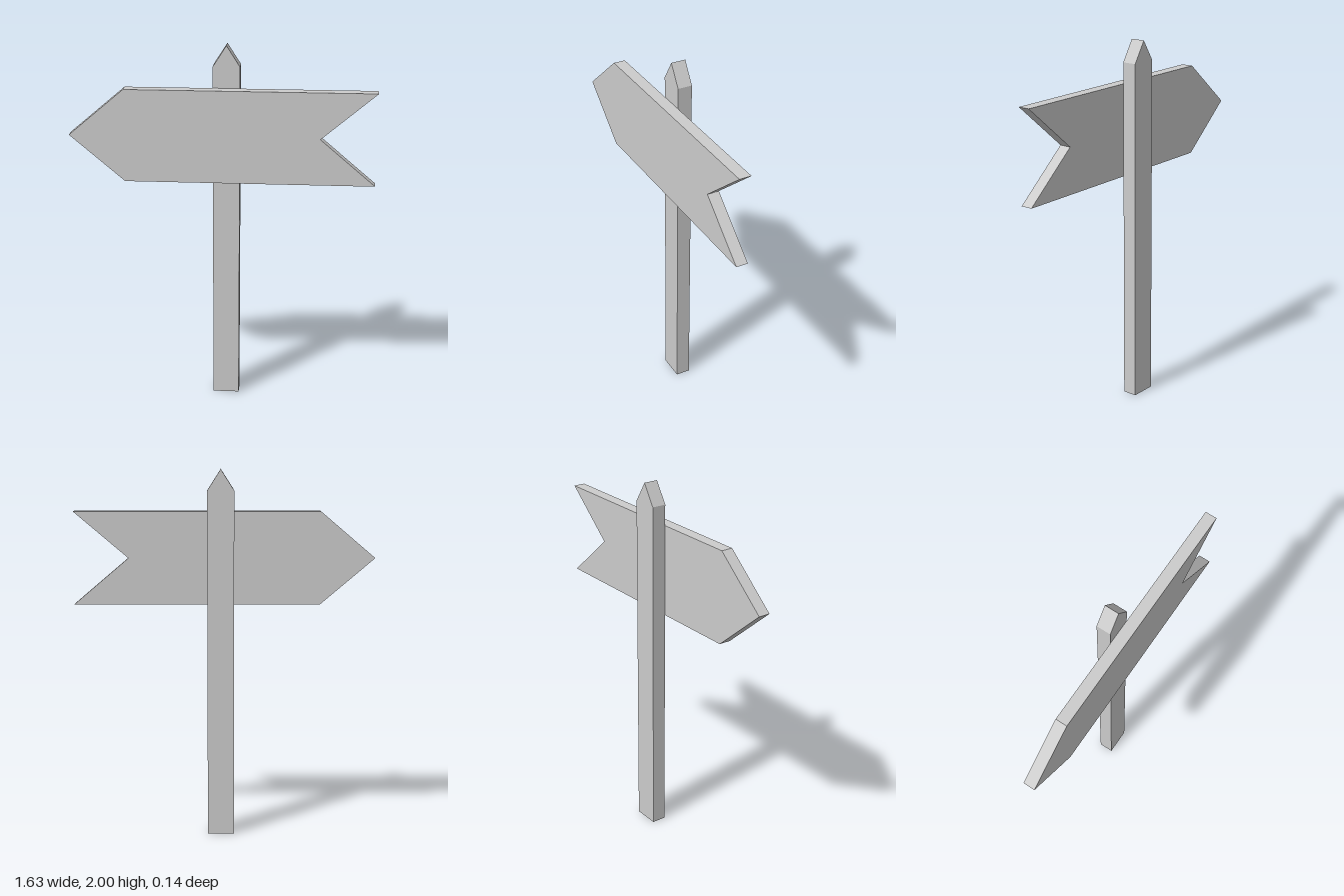
import * as THREE from 'three';

// Extrude a flat outline in the xy plane between two depths.
function plank(name, outline, zBack, zFront) {
  const shape = new THREE.Shape(outline.map(([x, y]) => new THREE.Vector2(x, y)));
  const geometry = new THREE.ExtrudeGeometry(shape, { depth: zFront - zBack, bevelEnabled: false });
  geometry.translate(0, 0, zBack);
  const mesh = new THREE.Mesh(geometry, new THREE.MeshStandardMaterial({ color: 0xcccccc, flatShading: true }));
  mesh.name = name;
  return mesh;
}

export function createModel() {
  const group = new THREE.Group();
  group.name = 'signpost';
  const joint = 0.007; // depth where board meets post

  // Upright post with a pointed top, slightly off the board's middle
  const postX = 0.02, half = 0.072;
  group.add(plank('post', [
    [postX - half, 0], [postX + half, 0], [postX + half, 1.887],
    [postX, 2], [postX - half, 1.887],
  ], -0.072, joint));

  // Arrow board: point on the right-hand side (-x), notched tail
  const end = 0.816, inner = 0.52, bottom = 1.27, top = 1.773, mid = (bottom + top) / 2;
  group.add(plank('arrowBoard', [
    [-end, mid], [-inner, bottom], [end, bottom],
    [inner, mid], [end, top], [-inner, top],
  ], joint, 0.072));

  return group;
}
